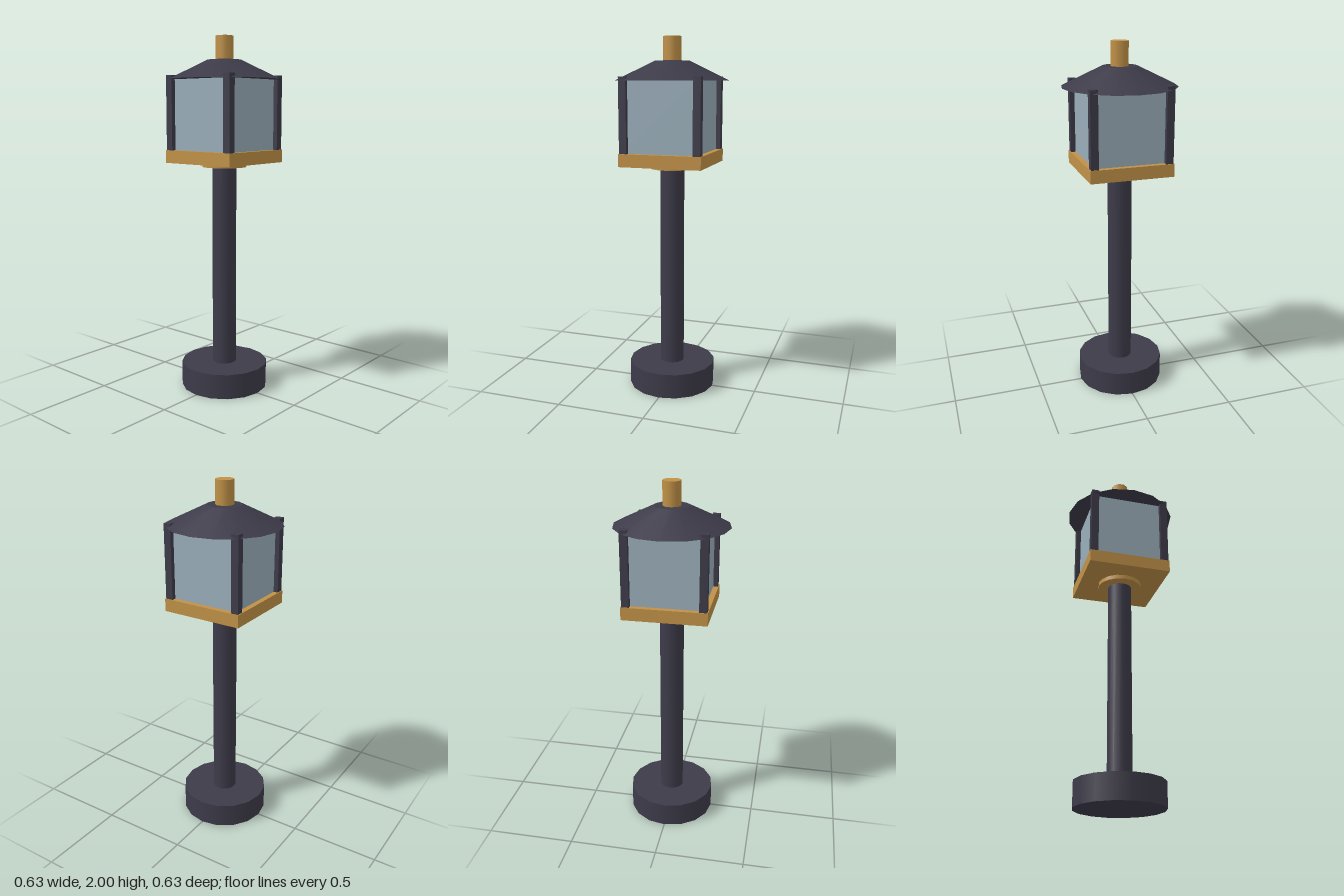
import * as THREE from 'three';

export function createModel() {
  const lamp = new THREE.Group();
  lamp.name = 'streetLamp';

  const material = (name, color) => {
    const m = new THREE.MeshStandardMaterial({ color });
    m.name = name;
    return m;
  };
  const iron = material('darkIron', 0x3d3b49);
  const brass = material('brass', 0xc09147);
  const glass = material('paleGlass', 0x99adb9);

  const add = (name, geometry, mat, x, y, z) => {
    const mesh = new THREE.Mesh(geometry, mat);
    mesh.name = name;
    mesh.position.set(x, y, z);
    lamp.add(mesh);
    return mesh;
  };
  // Round part between two heights, with a corner on the x axis
  const round = (name, mat, rTop, rBottom, y0, y1, sides) => {
    const geometry = new THREE.CylinderGeometry(rTop, rBottom, y1 - y0, sides);
    geometry.rotateY(Math.PI / 2);
    return add(name, geometry, mat, 0, (y0 + y1) / 2, 0);
  };
  // Square part between two heights
  const square = (name, mat, width, y0, y1, x = 0, z = 0) =>
    add(name, new THREE.BoxGeometry(width, y1 - y0, width), mat, x, (y0 + y1) / 2, z);

  // Foot and pole
  round('base', iron, 0.247, 0.247, 0, 0.14, 16);
  round('pole', iron, 0.068, 0.068, 0.14, 1.29, 16);

  // Brass seat of the lantern
  round('collar', brass, 0.125, 0.125, 1.28, 1.306, 16);
  square('lanternFloor', brass, 0.465, 1.304, 1.375);

  // Lantern body with its corner posts, which poke through the roof
  square('glassBox', glass, 0.405, 1.375, 1.766);
  for (const x of [-1, 1])
    for (const z of [-1, 1])
      square('cornerPost', iron, 0.042, 1.375, 1.786, x * 0.207, z * 0.207);

  // Roof and finial
  round('roof', iron, 0.096, 0.315, 1.764, 1.87, 16);
  round('finial', brass, 0.05, 0.05, 1.865, 2, 10);

  return lamp;
}
